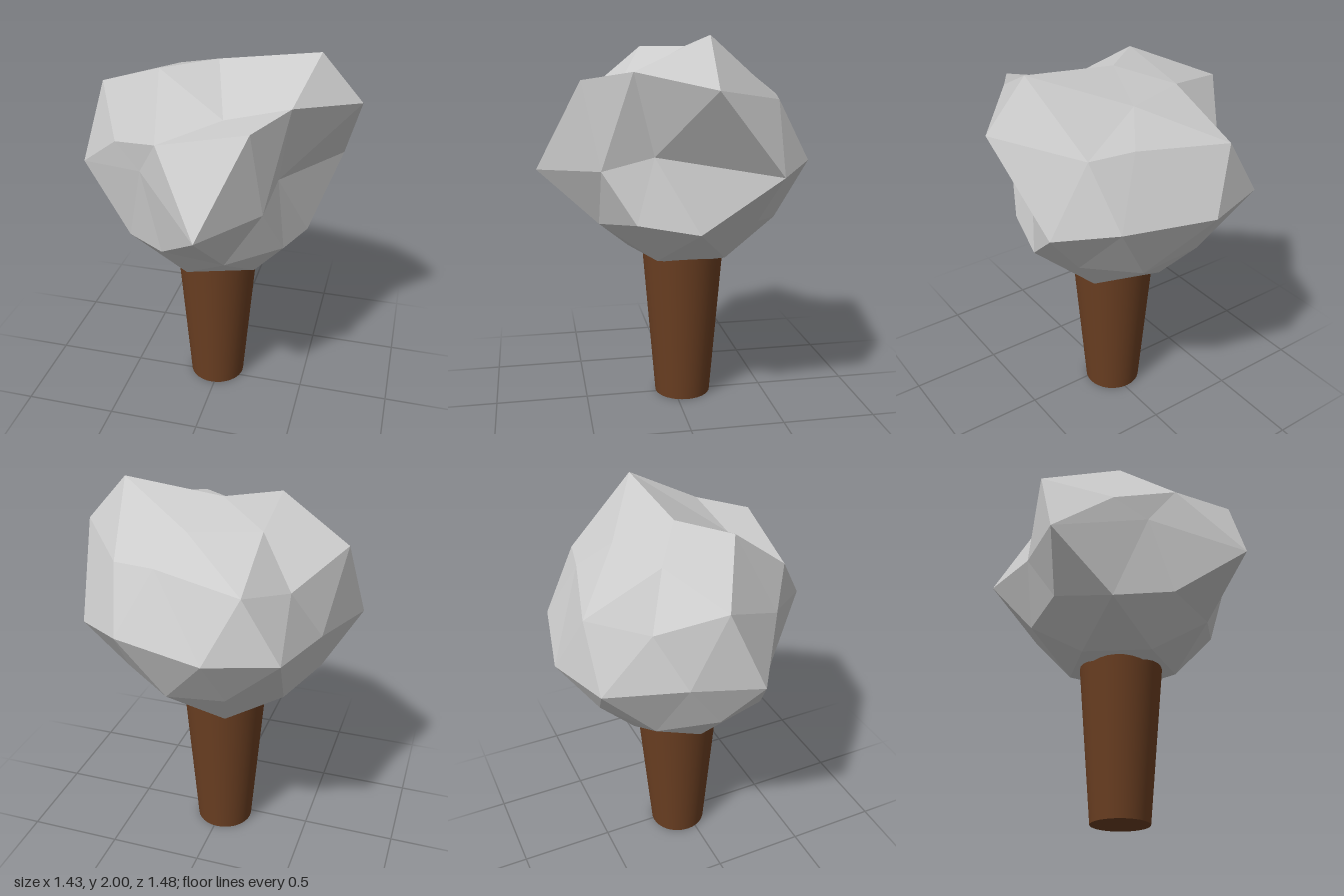
import * as THREE from 'three';
import { ConvexGeometry } from 'three/addons/geometries/ConvexGeometry.js';

// Common axis of trunk and crown
const AXIS_X = -0.017, AXIS_Z = -0.05;
const CROWN_Y = 1.342, CROWN_R = 0.585;

// Rings of a once-subdivided icosahedron: [height, first angle, angle step]
const RINGS = [
  [-1, 0, 360],
  [-0.8507, 36, 72], [-0.5257, 0, 72], [-0.4472, 36, 72],
  [0, 18, 36],
  [0.4472, 0, 72], [0.5257, 36, 72], [0.8507, 0, 72],
  [1, 0, 360],
];

// Crown corners pulled out of the sphere, keyed by ring and angle
const PULLED = {
  '4:18': [0.35, 1.41, 0.16],
  '4:90': [0.07, 1.32, 0.735],
  '4:126': [-0.3, 1.48, 0.38],
  '4:162': [-0.72, 1.36, 0.09],
  '4:234': [-0.47, 1.36, -0.63],
  '4:270': [-0.125, 1.355, -0.74],
  '4:306': [0.35, 1.375, -0.63],
  '4:342': [0.61, 1.335, -0.43],
  '5:0': [0.715, 1.76, -0.08],
  '5:72': [0.275, 1.785, 0.51],
  '5:144': [-0.46, 1.58, 0.28],
  '5:288': [0.185, 1.7, -0.5],
  '6:36': [0.42, 1.83, 0.27],
  '6:108': [-0.185, 1.67, 0.475],
  '6:180': [-0.65, 1.76, -0.075],
  '6:252': [-0.28, 1.667, -0.63],
  '6:324': [0.41, 1.69, -0.45],
  '7:0': [0.5, 2.0, -0.08],
  '7:72': [0.1, 1.755, 0.3],
  '7:144': [-0.26, 1.93, 0.145],
  '8:0': [-0.01, 1.935, -0.055],
};

function crownGeometry() {
  const directions = [], corners = [];
  RINGS.forEach(([h, start, step], ring) => {
    const r = Math.sqrt(1 - h * h);
    for (let deg = start; deg < 360; deg += step) {
      const a = THREE.MathUtils.degToRad(deg);
      const d = new THREE.Vector3(r * Math.cos(a), h, r * Math.sin(a));
      const pulled = PULLED[`${ring}:${deg}`];
      directions.push(d);
      corners.push(pulled
        ? new THREE.Vector3(...pulled)
        : d.clone().multiplyScalar(CROWN_R).add(new THREE.Vector3(AXIS_X, CROWN_Y, AXIS_Z)));
    }
  });
  // Join the sphere into triangles, then move each corner to its place
  const geometry = new ConvexGeometry(directions);
  const pos = geometry.attributes.position;
  const v = new THREE.Vector3();
  for (let i = 0; i < pos.count; i++) {
    v.fromBufferAttribute(pos, i);
    const c = corners[directions.findIndex((d) => d.distanceTo(v) < 0.01)];
    pos.setXYZ(i, c.x, c.y, c.z);
  }
  geometry.computeVertexNormals();
  return geometry;
}

export function createModel() {
  const model = new THREE.Group();
  model.name = 'tree';

  // Faceted crown
  const crown = new THREE.Mesh(
    crownGeometry(),
    new THREE.MeshStandardMaterial({ color: 0xcccccc, flatShading: true })
  );
  crown.name = 'crown';
  model.add(crown);

  // Trunk, widening upwards into the crown
  const height = 0.95;
  const trunk = new THREE.Mesh(
    new THREE.CylinderGeometry(0.232, 0.155, height, 32),
    new THREE.MeshStandardMaterial({ color: 0x6b3f22 })
  );
  trunk.position.set(AXIS_X, height / 2, AXIS_Z);
  trunk.name = 'trunk';
  model.add(trunk);

  return model;
}
